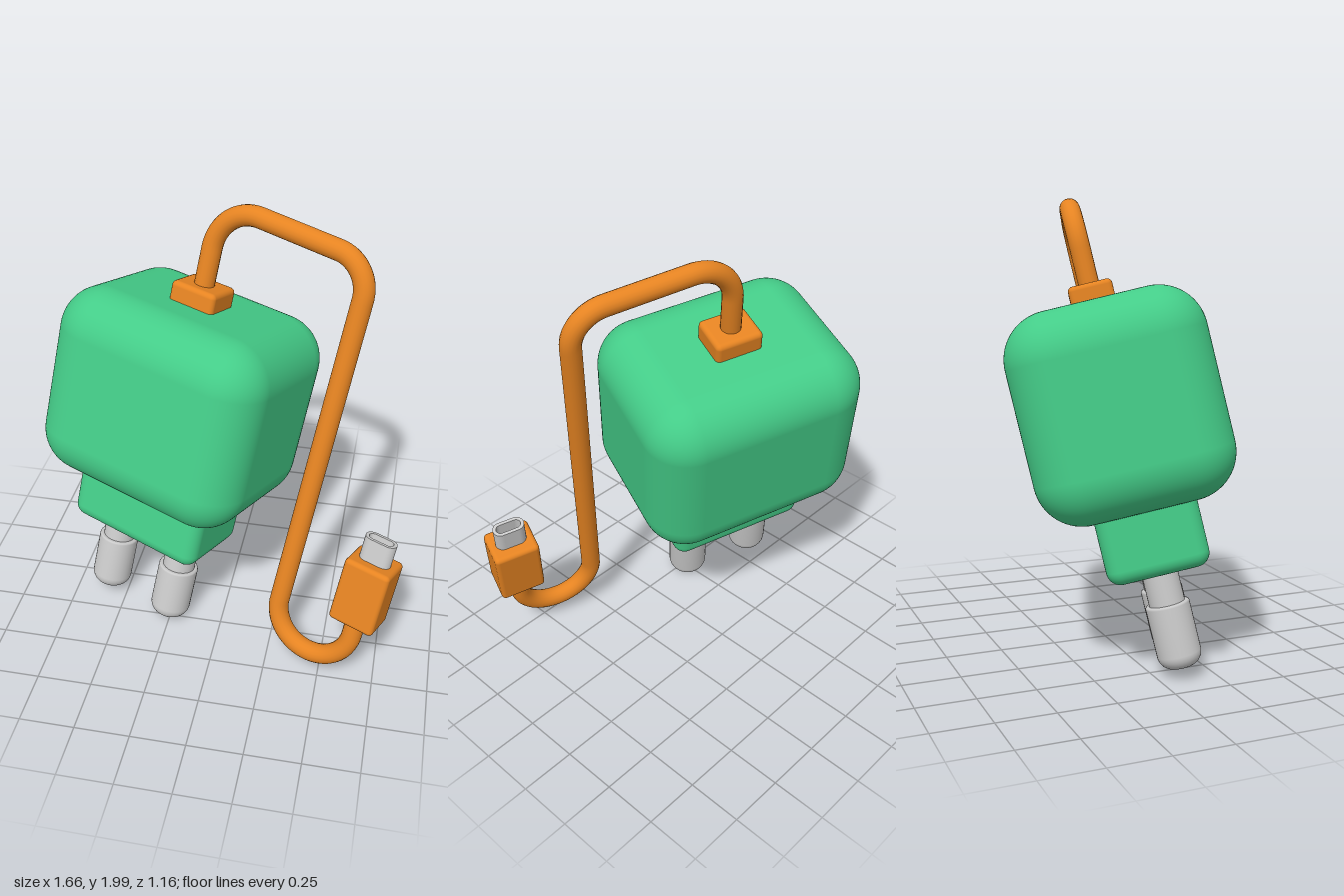
import * as THREE from 'three';
import { RoundedBoxGeometry } from 'three/addons/geometries/RoundedBoxGeometry.js';

const green = new THREE.MeshStandardMaterial({ color: 0x44cc88 });
const orange = new THREE.MeshStandardMaterial({ color: 0xe68422 });
const metal = new THREE.MeshStandardMaterial({ color: 0xcccccc });

// Stadium outline, long along x
function stadium(Type, halfWidth, r) {
  const s = new Type(), c = halfWidth - r;
  s.absarc(c, 0, r, -Math.PI / 2, Math.PI / 2, false);
  s.absarc(-c, 0, r, Math.PI / 2, Math.PI * 1.5, false);
  s.closePath();
  return s;
}

export function createModel() {
  const root = new THREE.Group();
  root.name = 'charger';

  // Everything is built upright around the housing centre, then tilted
  const tilted = new THREE.Group();
  tilted.name = 'tiltedCharger';
  const up = new THREE.Vector3(0.174, 0.967, -0.184).normalize();
  const front = new THREE.Vector3(0.930, -0.100, 0.353).cross(up).normalize();
  const side = up.clone().cross(front);
  tilted.quaternion.setFromRotationMatrix(new THREE.Matrix4().makeBasis(side, up, front));
  tilted.position.set(-0.23, 1.115, -0.035);
  root.add(tilted);

  const add = (name, geometry, material, x = 0, y = 0, z = 0) => {
    const mesh = new THREE.Mesh(geometry, material);
    mesh.name = name;
    mesh.position.set(x, y, z);
    tilted.add(mesh);
    return mesh;
  };

  // Housing and the narrower block under it
  add('housing', new RoundedBoxGeometry(1.02, 0.88, 0.83, 10, 0.2), green);
  add('plugBlock', new RoundedBoxGeometry(0.67, 0.41, 0.43, 5, 0.06), green, 0, -0.505, 0);

  // Two pins: thin neck and a thicker rounded sleeve
  const profile = [new THREE.Vector2(0, -1.12)];
  for (let i = 0; i <= 8; i++) {
    const t = (i / 8) * Math.PI / 2;
    profile.push(new THREE.Vector2(0.034 + 0.06 * Math.sin(t), -1.06 - 0.06 * Math.cos(t)));
  }
  profile.push(new THREE.Vector2(0.094, -0.855), new THREE.Vector2(0.091, -0.847), new THREE.Vector2(0.084, -0.845));
  const sleeve = new THREE.LatheGeometry([...profile, new THREE.Vector2(0, -0.845)], 32);
  const neck = new THREE.CylinderGeometry(0.076, 0.076, 0.17, 32);
  for (const s of [-1, 1]) {
    const label = s > 0 ? 'left' : 'right';
    add(label + 'PinSleeve', sleeve, metal, s * 0.175, 0, 0);
    add(label + 'PinNeck', neck, metal, s * 0.175, -0.77, 0);
  }

  // Collar where the cable leaves the housing
  add('cableCollar', new RoundedBoxGeometry(0.22, 0.13, 0.19, 4, 0.022), orange, 0, 0.46, 0);

  // Cable: straight runs joined by quarter-round bends
  const path = new THREE.CurvePath();
  let pen = new THREE.Vector3(0, 0.46, 0);
  const line = (x, y) => {
    const end = new THREE.Vector3(x, y, 0);
    path.add(new THREE.LineCurve3(pen, end));
    pen = end;
  };
  const bend = (cornerX, cornerY, x, y) => {
    const corner = new THREE.Vector3(cornerX, cornerY, 0), end = new THREE.Vector3(x, y, 0);
    path.add(new THREE.CubicBezierCurve3(pen, pen.clone().lerp(corner, 0.5523), end.clone().lerp(corner, 0.5523), end));
    pen = end;
  };
  line(0, 0.69);
  bend(0, 0.887, 0.19, 0.882);
  line(0.56, 0.868);
  bend(0.71, 0.863, 0.71, 0.71);
  line(0.71, -0.755);
  bend(0.71, -0.94, 0.894, -0.94);
  bend(1.078, -0.94, 1.078, -0.755);
  line(1.078, -0.6);
  add('cable', new THREE.TubeGeometry(path, 180, 0.045, 18, false), orange);

  // Connector grip
  add('connectorGrip', new RoundedBoxGeometry(0.21, 0.31, 0.18, 4, 0.02), orange, 1.078, -0.512, 0);

  // Hollow metal tip with a recessed floor
  const shell = stadium(THREE.Shape, 0.072, 0.037);
  shell.holes.push(stadium(THREE.Path, 0.057, 0.022));
  const extrude = (shape, depth) => new THREE.ExtrudeGeometry(shape, { depth, bevelEnabled: false, curveSegments: 14 }).rotateX(-Math.PI / 2);
  add('connectorTip', extrude(shell, 0.12), metal, 1.078, -0.37, 0);
  add('connectorTipFloor', extrude(stadium(THREE.Shape, 0.058, 0.023), 0.03), metal, 1.078, -0.37, 0);

  return root;
}
